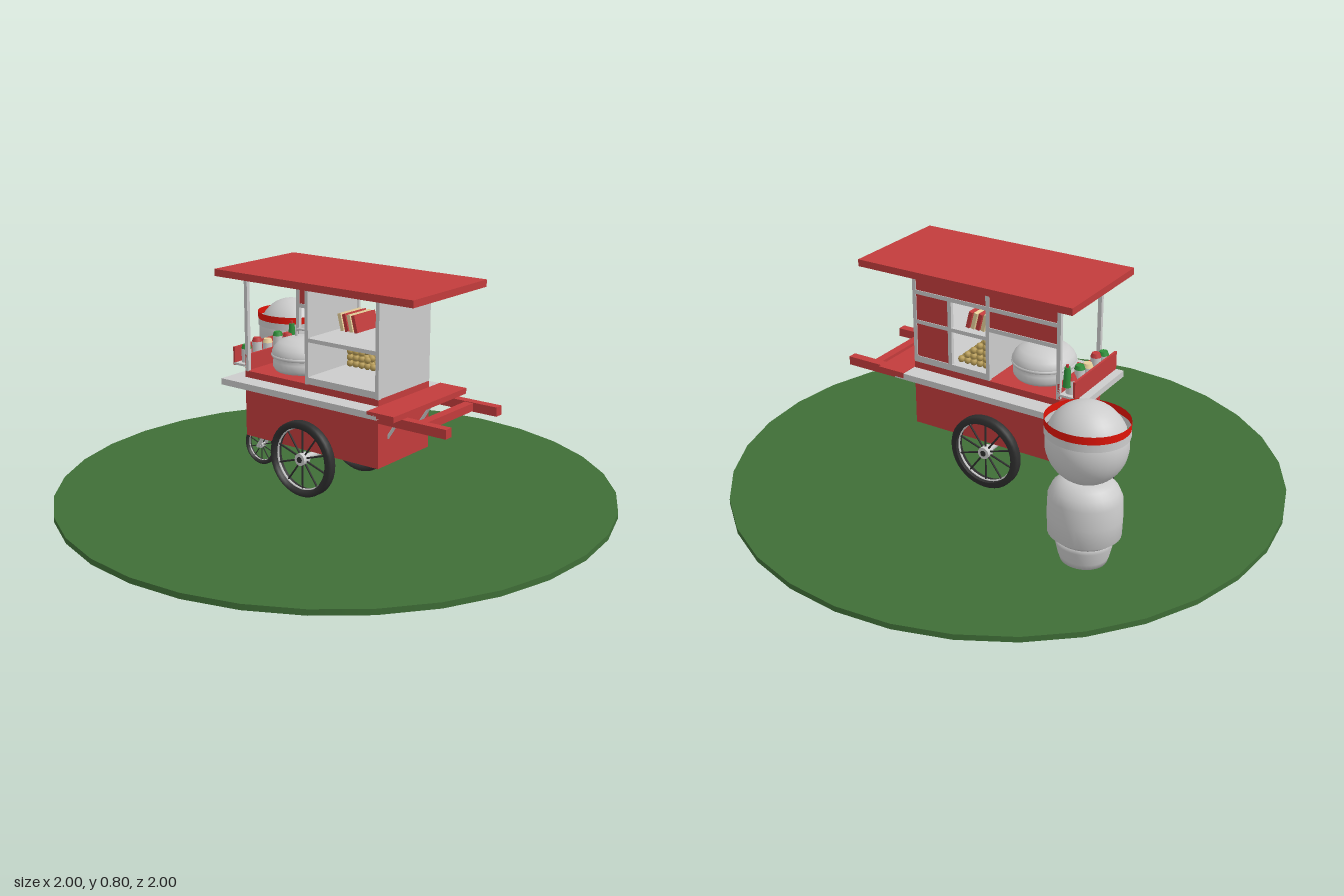
import * as THREE from 'three';

const mat = (color, side = THREE.FrontSide) => new THREE.MeshStandardMaterial({ color, side });
const GREY = mat(0xcccccc), RED = mat(0xc23c3c), DARK = mat(0x2e2e2e), GREEN = mat(0x3f6e37);
const BAND = mat(0xe01408, THREE.DoubleSide), GREY2 = mat(0xcccccc, THREE.DoubleSide);
const LEAF = mat(0x2f8f3a), TAN = mat(0xb59a55), CREAM = mat(0xe6cf9a);
const V = (x, y, z) => new THREE.Vector3(x, y, z);

function add(parent, name, geo, material, x = 0, y = 0, z = 0) {
  const m = new THREE.Mesh(geo, material);
  m.name = name;
  m.position.set(x, y, z);
  parent.add(m);
  return m;
}

// box given by its extents along each axis
function box(parent, name, material, [x0, x1], [y0, y1], [z0, z1]) {
  return add(parent, name, new THREE.BoxGeometry(x1 - x0, y1 - y0, z1 - z0), material,
    (x0 + x1) / 2, (y0 + y1) / 2, (z0 + z1) / 2);
}

// round bar between two points
function rod(parent, name, material, a, b, r) {
  const m = add(parent, name, new THREE.CylinderGeometry(r, r, a.distanceTo(b), 8), material);
  m.position.copy(a).lerp(b, 0.5);
  m.quaternion.setFromUnitVectors(V(0, 1, 0), b.clone().sub(a).normalize());
  return m;
}

const lathe = (pts, seg = 32) => new THREE.LatheGeometry(pts.map(p => new THREE.Vector2(...p)), seg);

// spoked wheel with its axle along x
function wheel(parent, name, x, y, z, radius, width, rim, spokes) {
  const g = new THREE.Group();
  g.name = name;
  const i = radius - rim, w = width / 2;
  const tyre = add(g, 'tyre', lathe([[i, -w], [radius - rim * 0.25, -w], [radius, -w * 0.6],
    [radius, w * 0.6], [radius - rim * 0.25, w], [i, w], [i, -w]], 40), DARK);
  const ring = add(g, 'rim', new THREE.TorusGeometry(i, rim * 0.2, 6, 40), GREY);
  const hub = add(g, 'hub', new THREE.CylinderGeometry(radius * 0.16, radius * 0.16, width * 0.9, 16), GREY);
  const cap = add(g, 'hubCap', new THREE.CylinderGeometry(radius * 0.08, radius * 0.08, width, 12), DARK);
  tyre.rotation.z = hub.rotation.z = cap.rotation.z = Math.PI / 2;
  ring.rotation.y = Math.PI / 2;
  for (let k = 0; k < spokes; k++) {
    const a = (k / spokes) * Math.PI * 2;
    rod(g, 'spoke', DARK, V(0, 0, 0), V(0, Math.cos(a) * i, Math.sin(a) * i), radius * 0.025);
  }
  g.position.set(x, y, z);
  parent.add(g);
}

function makeCart() {
  const cart = new THREE.Group();
  cart.name = 'foodCart';
  const W = 0.148;

  // lower body, counter and roof
  box(cart, 'body', RED, [-W, W], [0.19, 0.385], [-0.29, 0.3]);
  box(cart, 'counter', GREY, [-0.215, 0.215], [0.385, 0.408], [-0.345, 0.34]);
  box(cart, 'frontBoard', RED, [-0.215, 0.215], [0.39, 0.41], [0.302, 0.41]);
  box(cart, 'cabinetBase', RED, [-W, W], [0.408, 0.432], [-0.29, 0.3]);
  box(cart, 'roof', RED, [-0.214, 0.214], [0.775, 0.8], [-0.367, 0.478]);

  // push handles, crossbar and braces
  for (const s of [-1, 1]) {
    box(cart, 'pushHandle', RED, [s * 0.153 - 0.016, s * 0.153 + 0.016], [0.358, 0.39], [0.29, 0.58]);
    rod(cart, 'frontBrace', GREY, V(s * 0.09, 0.36, 0.345), V(s * 0.09, 0.285, 0.297), 0.006);
    rod(cart, 'rearBrace', GREY, V(s * 0.09, 0.388, -0.332), V(s * 0.09, 0.335, -0.287), 0.006);
  }
  box(cart, 'crossbar', RED, [-0.14, 0.14], [0.36, 0.388], [0.455, 0.487]);

  // wheels, axle and rear fork
  for (const s of [-1, 1]) wheel(cart, 'sideWheel', s * 0.169, 0.165, -0.01, 0.137, 0.037, 0.024, 10);
  rod(cart, 'axle', GREY, V(-0.17, 0.165, -0.01), V(0.17, 0.165, -0.01), 0.012);
  wheel(cart, 'rearWheel', 0, 0.1, -0.352, 0.075, 0.02, 0.014, 10);
  for (const s of [-1, 1]) rod(cart, 'forkArm', GREY, V(s * 0.02, 0.2, -0.285), V(s * 0.02, 0.1, -0.352), 0.007);
  rod(cart, 'forkAxle', GREY, V(-0.024, 0.1, -0.352), V(0.024, 0.1, -0.352), 0.006);

  // cabinet posts, rails and walls
  const p = 0.014;
  for (const s of [-1, 1]) {
    const side = [s * (W - p / 2) - p / 2, s * (W - p / 2) + p / 2];
    for (const z of [-0.29, -0.014, 0.286]) box(cart, 'post', GREY, side, [0.43, 0.776], [z, z + p]);
    box(cart, 'topRail', GREY, side, [0.762, 0.776], [-0.29, 0.3]);
    box(cart, 'lowerRail', GREY, side, [0.432, 0.455], [0, 0.3]);
  }
  box(cart, 'rearTopRail', GREY, [-W, W], [0.762, 0.776], [-0.29, -0.276]);
  box(cart, 'frontWall', GREY, [-W, W], [0.432, 0.776], [0.293, 0.3]);
  box(cart, 'partition', GREY, [-W, W], [0.432, 0.776], [-0.01, -0.003]);
  for (const y of [0.442, 0.58]) box(cart, 'shelf', GREY, [-W, W], [y, y + 0.014], [-0.005, 0.295]);

  // sign side
  const inner = [W - p, W];
  box(cart, 'signRail', GREY, inner, [0.69, 0.705], [-0.29, 0.3]);
  box(cart, 'signLowerRail', GREY, inner, [0.615, 0.63], [-0.28, -0.01]);
  box(cart, 'signPost', GREY, inner, [0.44, 0.7], [0.14, 0.155]);
  const panel = [W - 0.011, W - 0.003];
  box(cart, 'topSign', RED, panel, [0.704, 0.763], [-0.278, 0.288]);
  box(cart, 'tallSign', RED, panel, [0.455, 0.692], [0.153, 0.288]);
  box(cart, 'smallSign', RED, panel, [0.628, 0.692], [-0.278, -0.012]);

  // packets on the upper shelf
  [RED, CREAM, RED, CREAM].forEach((m, i) => {
    const packet = add(cart, 'packet', new THREE.BoxGeometry(0.12, 0.062, 0.014), m, 0.06, 0.627, 0.085 - i * 0.02);
    packet.rotation.x = -0.25;
  });
  // stepped pile of meatballs on the lower shelf
  const ball = new THREE.SphereGeometry(0.0125, 10, 8);
  for (let c = 0; c < 5; c++)
    for (let r = 0; r <= c; r++)
      for (let k = 0; k < 3; k++)
        add(cart, 'meatball', ball, TAN, 0.11 - k * 0.026, 0.468 + r * 0.022, 0.125 - c * 0.0255);

  // stock pot with domed lid and loop handle
  const pot = new THREE.Group();
  pot.name = 'stockPot';
  add(pot, 'potBody', lathe([[0, 0], [0.1, 0], [0.108, 0.012], [0.108, 0.035], [0.1, 0.045], [0.108, 0.052]]), GREY2);
  add(pot, 'potRim', new THREE.TorusGeometry(0.108, 0.007, 8, 32), GREY, 0, 0.055, 0).rotation.x = Math.PI / 2;
  add(pot, 'lid', lathe([[0.112, 0.058], [0.112, 0.068], [0.104, 0.085], [0.085, 0.103], [0.05, 0.115], [0, 0.119]]), GREY2);
  const loop = new THREE.CatmullRomCurve3([V(0, 0.112, 0.03), V(0, 0.138, 0.028), V(0, 0.142, 0.02),
    V(0, 0.142, -0.02), V(0, 0.138, -0.028), V(0, 0.112, -0.03)]);
  add(pot, 'lidHandle', new THREE.TubeGeometry(loop, 24, 0.005, 8), GREY);
  pot.position.set(0, 0.432, -0.145);
  cart.add(pot);

  // condiment tray on the rear end
  box(cart, 'trayFloor', GREY, [-W, W], [0.445, 0.453], [-0.345, -0.285]);
  box(cart, 'trayFront', RED, [-W, W], [0.443, 0.51], [-0.348, -0.34]);
  box(cart, 'trayBack', RED, [-W, W], [0.43, 0.49], [-0.29, -0.282]);
  [RED, LEAF, CREAM, RED, LEAF].forEach((m, i) => {
    const x = 0.115 - i * 0.057, tall = i % 2 ? 0.065 : 0.05;
    add(cart, 'jar', new THREE.CylinderGeometry(0.018, 0.018, tall, 16), GREY, x, 0.453 + tall / 2, -0.315);
    add(cart, 'jarLid', new THREE.CylinderGeometry(0.014, 0.019, 0.014, 16), m, x, 0.46 + tall, -0.315);
  });
  add(cart, 'bottle', new THREE.CylinderGeometry(0.01, 0.015, 0.07, 16), LEAF, 0.13, 0.515, -0.308);
  rod(cart, 'bottleSpout', RED, V(0.13, 0.548, -0.308), V(0.13, 0.56, -0.308), 0.005);
  return cart;
}

function makeVendor() {
  const vendor = new THREE.Group();
  vendor.name = 'vendor';
  add(vendor, 'legs', lathe([[0, 0.02], [0.072, 0.02], [0.078, 0.04], [0.088, 0.085], [0.088, 0.108], [0, 0.108]]), GREY);
  add(vendor, 'torso', lathe([[0, 0.1], [0.088, 0.1], [0.112, 0.122], [0.114, 0.19], [0.112, 0.255],
    [0.1, 0.285], [0.082, 0.305], [0.06, 0.318], [0, 0.325]]), GREY);
  add(vendor, 'head', new THREE.SphereGeometry(1, 32, 24), GREY, 0, 0.443, 0).scale.set(0.124, 0.137, 0.124);
  // open headband in two stripes
  const stripe = (name, m, y0, y1) => add(vendor, name,
    new THREE.CylinderGeometry(0.127, 0.127, y1 - y0, 32, 1, true), m, 0, (y0 + y1) / 2, 0);
  stripe('headbandStripe', BAND, 0.502, 0.528);
  stripe('headbandEdge', GREY2, 0.476, 0.502);
  vendor.scale.z = 1.09;
  vendor.position.set(0.368, 0, -0.515);
  return vendor;
}

export function createModel() {
  const model = new THREE.Group();
  model.name = 'streetFoodStall';
  add(model, 'ground', new THREE.CylinderGeometry(1, 1, 0.02, 32), GREEN, 0, 0.01, 0);
  const cart = makeCart();
  cart.position.x = -0.004;
  model.add(cart, makeVendor());
  return model;
}
